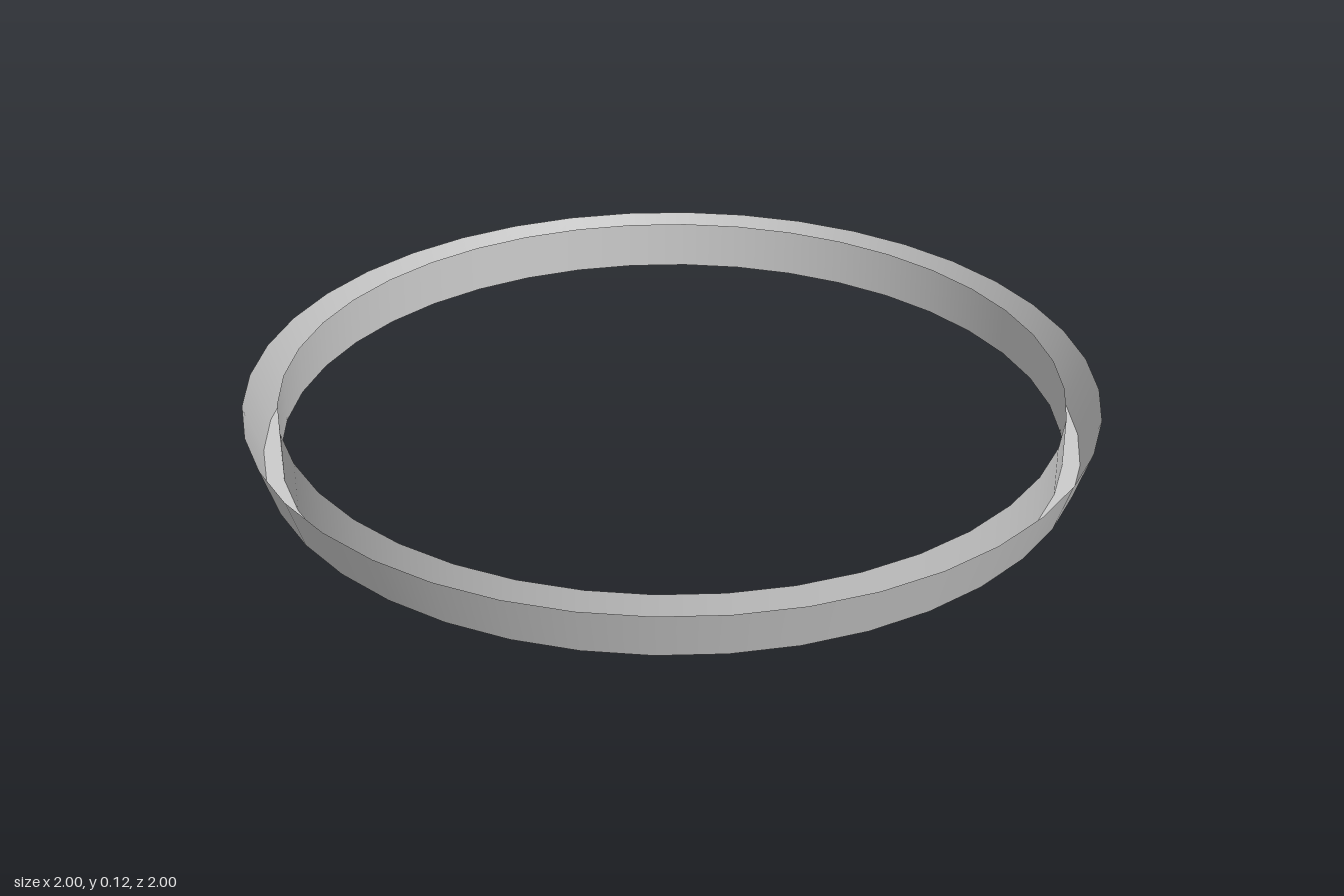
import * as THREE from 'three';

const SEGMENTS = 40;
const HEIGHT = 0.12;
const TOP_RADIUS = 1;
const BOTTOM_RADIUS = 0.96;
const INNER_RADIUS = 0.92;

export function createModel() {
  const group = new THREE.Group();
  group.name = 'openChannelRing';
  const material = new THREE.MeshStandardMaterial({ color: 0xcccccc, side: THREE.DoubleSide });

  // Each thin wall is its own lathe, so the edges between them stay sharp
  function addWall(name, from, to) {
    const profile = [new THREE.Vector2(...from), new THREE.Vector2(...to)];
    const mesh = new THREE.Mesh(new THREE.LatheGeometry(profile, SEGMENTS), material);
    mesh.name = name;
    group.add(mesh);
  }

  // The channel between the walls is open at the top
  addWall('flaredOuterWall', [BOTTOM_RADIUS, 0], [TOP_RADIUS, HEIGHT]);
  addWall('channelFloor', [INNER_RADIUS, 0], [BOTTOM_RADIUS, 0]);
  addWall('innerWall', [INNER_RADIUS, HEIGHT], [INNER_RADIUS, 0]);

  return group;
}
